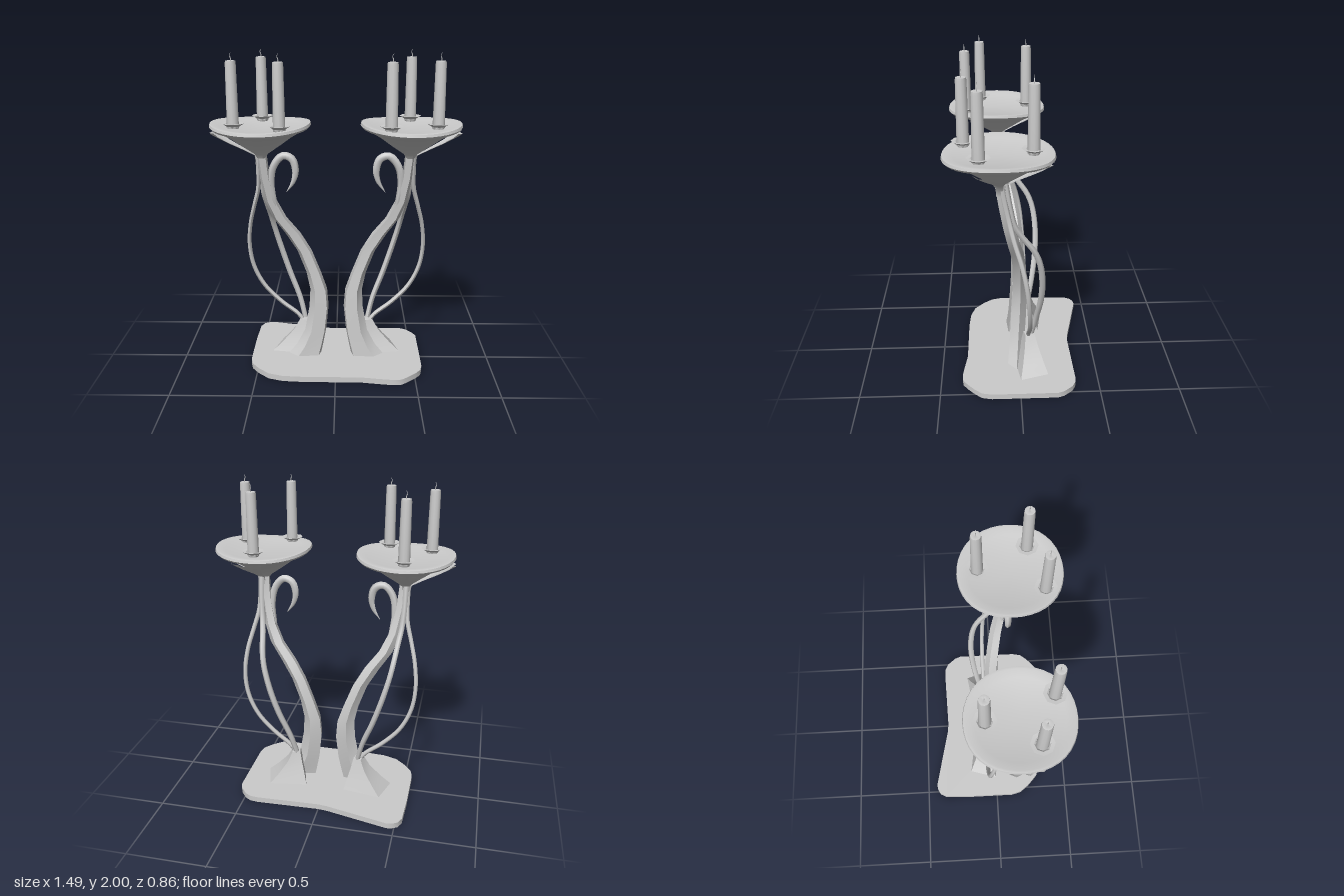
import * as THREE from 'three';
import { toCreasedNormals } from 'three/addons/utils/BufferGeometryUtils.js';

const mat = new THREE.MeshStandardMaterial({ color: 0xcccccc });
const thin = new THREE.MeshStandardMaterial({ color: 0xcccccc, side: THREE.DoubleSide });

function add(group, name, geometry, material = mat) {
  const mesh = new THREE.Mesh(geometry, material);
  mesh.name = name;
  group.add(mesh);
  return mesh;
}

// Horizontal rings [x, y, z, rx, rz] joined into a skin; s mirrors in x
function loft(rings, sides, phase, s) {
  const pos = [], idx = [];
  for (const [x, y, z, rx, rz] of rings)
    for (let j = 0; j < sides; j++) {
      const a = s * (j / sides) * Math.PI * 2 + phase;
      pos.push(s * (x + rx * Math.cos(a)), y, z + rz * Math.sin(a));
    }
  for (let i = 0; i < rings.length - 1; i++)
    for (let j = 0; j < sides; j++) {
      const a = i * sides + j, b = i * sides + (j + 1) % sides;
      idx.push(a, a + sides, b, b, a + sides, b + sides);
    }
  const g = new THREE.BufferGeometry();
  g.setAttribute('position', new THREE.Float32BufferAttribute(pos, 3));
  g.setIndex(idx);
  return toCreasedNormals(g, 0.5);
}

// Tube through points [x, y, z, radius] with changing thickness
function taperedTube(points, sides, segments, s) {
  const curve = new THREE.CatmullRomCurve3(points.map(p => new THREE.Vector3(s * p[0], p[1], p[2])));
  const g = new THREE.TubeGeometry(curve, segments, 1, sides);
  const p = g.attributes.position, v = new THREE.Vector3();
  for (let i = 0; i <= segments; i++) {
    const u = i / segments, c = curve.getPointAt(u);
    const k = curve.getUtoTmapping(u) * (points.length - 1);
    const k0 = Math.min(Math.floor(k), points.length - 2);
    const r = THREE.MathUtils.lerp(points[k0][3], points[k0 + 1][3], k - k0);
    for (let j = 0; j <= sides; j++) {
      const n = i * (sides + 1) + j;
      v.fromBufferAttribute(p, n).sub(c).multiplyScalar(r).add(c);
      p.setXYZ(n, v.x, v.y, v.z);
    }
  }
  g.computeVertexNormals();
  return g;
}

// Leaf fanning out under a plate towards +x, with a scalloped end
function fanGeometry() {
  const profile = [[0.025, 1.33, 0.02], [0.035, 1.395, 0.022], [0.1, 1.43, 0.035],
    [0.19, 1.475, 0.065], [0.25, 1.51, 0.095], [0.285, 1.535, 0.108]];
  const g = new THREE.PlaneGeometry(2, 1, 12, profile.length - 1);
  const p = g.attributes.position;
  for (let i = 0; i < p.count; i++) {
    const row = Math.floor(i / 13), w = p.getX(i);
    const [r, y, half] = profile[row];
    const scallop = row === 5 ? 0.008 * Math.cos(w * Math.PI * 3) : 0;
    p.setXYZ(i, r - 0.1 * half * w * w + scallop, y + 0.15 * half * w * w, w * half);
  }
  g.computeVertexNormals();
  return g;
}

// Shallow bowl with a slightly sunken top and a wavy rim
function plateGeometry() {
  const profile = [[0.025, 1.38], [0.04, 1.405], [0.12, 1.46], [0.19, 1.51], [0.25, 1.543], [0.288, 1.556],
    [0.301, 1.57], [0.297, 1.585], [0.283, 1.587], [0.24, 1.576], [0, 1.57]].map(q => new THREE.Vector2(...q));
  const g = new THREE.LatheGeometry(profile, 40);
  const p = g.attributes.position;
  for (let i = 0; i < p.count; i++) {
    const x = p.getX(i), z = p.getZ(i), r = Math.hypot(x, z);
    const a = Math.atan2(z, x), k = (r / 0.3) ** 3;
    const out = 1 - 0.012 * Math.cos(4 * a) * k;
    p.setXYZ(i, x * out, p.getY(i) + 0.01 * k * Math.cos(2 * a), z * out * 1.04);
  }
  return toCreasedNormals(g, 0.6);
}

function candle(x, z) {
  const g = new THREE.Group();
  g.name = 'candle';
  const dish = [[0, 1.565], [0.03, 1.565], [0.038, 1.587], [0.067, 1.604], [0.045, 1.602], [0.034, 1.592], [0, 1.592]];
  add(g, 'dripDish', toCreasedNormals(new THREE.LatheGeometry(dish.map(q => new THREE.Vector2(...q)), 8), 0.4), thin);
  const wax = [[0.035, 1.58], [0.031, 1.94], [0.029, 1.955], [0.014, 1.957], [0, 1.95]];
  add(g, 'wax', toCreasedNormals(new THREE.LatheGeometry(wax.map(q => new THREE.Vector2(...q)), 12), 0.7));
  add(g, 'wick', taperedTube([[0, 1.945, 0, 0.003], [0.002, 1.97, 0, 0.003],
    [-0.004, 1.985, 0, 0.002], [0.004, 2, 0, 0.001]], 5, 8, 1));
  g.position.set(x, 0, z);
  return g;
}

function candelabrum(s) {
  const g = new THREE.Group();
  g.name = s > 0 ? 'leftCandelabrum' : 'rightCandelabrum';

  add(g, 'trunk', loft([
    [0.2, 0.03, 0.025, 0.115, 0.053], [0.165, 0.1, 0.018, 0.092, 0.052], [0.13, 0.2, 0.01, 0.074, 0.052],
    [0.108, 0.36, 0, 0.067, 0.052], [0.11, 0.48, -0.005, 0.058, 0.05], [0.143, 0.6, -0.005, 0.049, 0.046],
    [0.2, 0.75, 0, 0.048, 0.044], [0.27, 0.87, 0.015, 0.05, 0.042], [0.35, 0.98, 0.037, 0.045, 0.04],
    [0.4, 1.1, 0.063, 0.038, 0.037], [0.43, 1.25, 0.09, 0.032, 0.035], [0.443, 1.4, 0.112, 0.033, 0.035],
    [0.445, 1.47, 0.115, 0.04, 0.04]], 5, Math.PI + 0.5, s));

  add(g, 'foot', loft([
    [0.275, 0.03, -0.075, 0.178, 0.13], [0.247, 0.1, -0.073, 0.124, 0.095], [0.222, 0.18, -0.069, 0.068, 0.062],
    [0.21, 0.25, -0.065, 0.036, 0.042], [0.21, 0.255, -0.065, 0.001, 0.001]], 4, -1, s));

  add(g, 'middleStem', taperedTube([
    [0.2, 0.22, -0.075, 0.017], [0.24, 0.38, -0.105, 0.018], [0.305, 0.55, -0.13, 0.019], [0.36, 0.72, -0.135, 0.019],
    [0.4, 0.87, -0.115, 0.018], [0.417, 0.96, -0.08, 0.018], [0.432, 1.06, -0.01, 0.018], [0.445, 1.14, 0.035, 0.018],
    [0.453, 1.25, 0.06, 0.018], [0.455, 1.42, 0.09, 0.02]], 6, 40, s));

  add(g, 'outerStem', taperedTube([
    [0.21, 0.22, -0.06, 0.014], [0.25, 0.28, -0.06, 0.014], [0.36, 0.37, -0.06, 0.014], [0.47, 0.49, -0.058, 0.014],
    [0.535, 0.63, -0.05, 0.014], [0.555, 0.78, -0.035, 0.014], [0.54, 0.93, -0.005, 0.014], [0.507, 1.06, 0.035, 0.014],
    [0.475, 1.18, 0.065, 0.015], [0.467, 1.3, 0.09, 0.016], [0.467, 1.42, 0.11, 0.018]], 6, 50, s));

  add(g, 'curl', taperedTube([
    [0.35, 0.95, 0.04, 0.012], [0.38, 1.1, 0.075, 0.018], [0.393, 1.23, 0.09, 0.021], [0.372, 1.33, 0.1, 0.022],
    [0.317, 1.388, 0.1, 0.023], [0.265, 1.37, 0.1, 0.024], [0.243, 1.3, 0.1, 0.021], [0.257, 1.23, 0.1, 0.014],
    [0.3, 1.163, 0.1, 0.001]], 6, 40, s));

  add(g, 'plate', plateGeometry()).position.set(s * 0.443, 0, 0.119);

  // Leaf supports: one to the outside, one to the back
  const outward = Math.atan2(0.04, s * 0.28);
  const angles = [outward, -Math.PI / 2 + s * 0.12];
  for (const a of angles) {
    const leaf = add(g, 'leafSupport', fanGeometry(), thin);
    leaf.position.set(s * 0.45, 0, 0.112);
    leaf.rotation.y = -a;
  }

  for (const [x, z] of [[0.452, -0.07], [0.588, 0.225], [0.315, 0.313]]) g.add(candle(s * x, z));
  return g;
}

export function createModel() {
  const model = new THREE.Group();
  model.name = 'candleStand';

  // Base plate with a wavy outline, drawn as (x, z)
  const outline = [[-0.55, -0.18], [-0.542, -0.37], [-0.52, -0.413], [-0.49, -0.43], [-0.455, -0.436], [-0.06, -0.347],
    [0, -0.34], [0.4, -0.352], [0.45, -0.347], [0.49, -0.325], [0.535, -0.27], [0.55, -0.23], [0.55, 0.18],
    [0.537, 0.24], [0.5, 0.285], [0.45, 0.33], [0.41, 0.36], [0.36, 0.365], [0.28, 0.355], [0.16, 0.337],
    [-0.2, 0.335], [-0.33, 0.325], [-0.42, 0.295], [-0.49, 0.23], [-0.535, 0.17], [-0.55, 0.11]];
  const shape = new THREE.Shape(outline.map(([x, z]) => new THREE.Vector2(x, -z)));
  const base = new THREE.ExtrudeGeometry(shape, { depth: 0.036, bevelEnabled: false });
  base.rotateX(-Math.PI / 2);
  add(model, 'base', toCreasedNormals(base, 0.6));

  for (const s of [1, -1]) model.add(candelabrum(s));
  return model;
}
